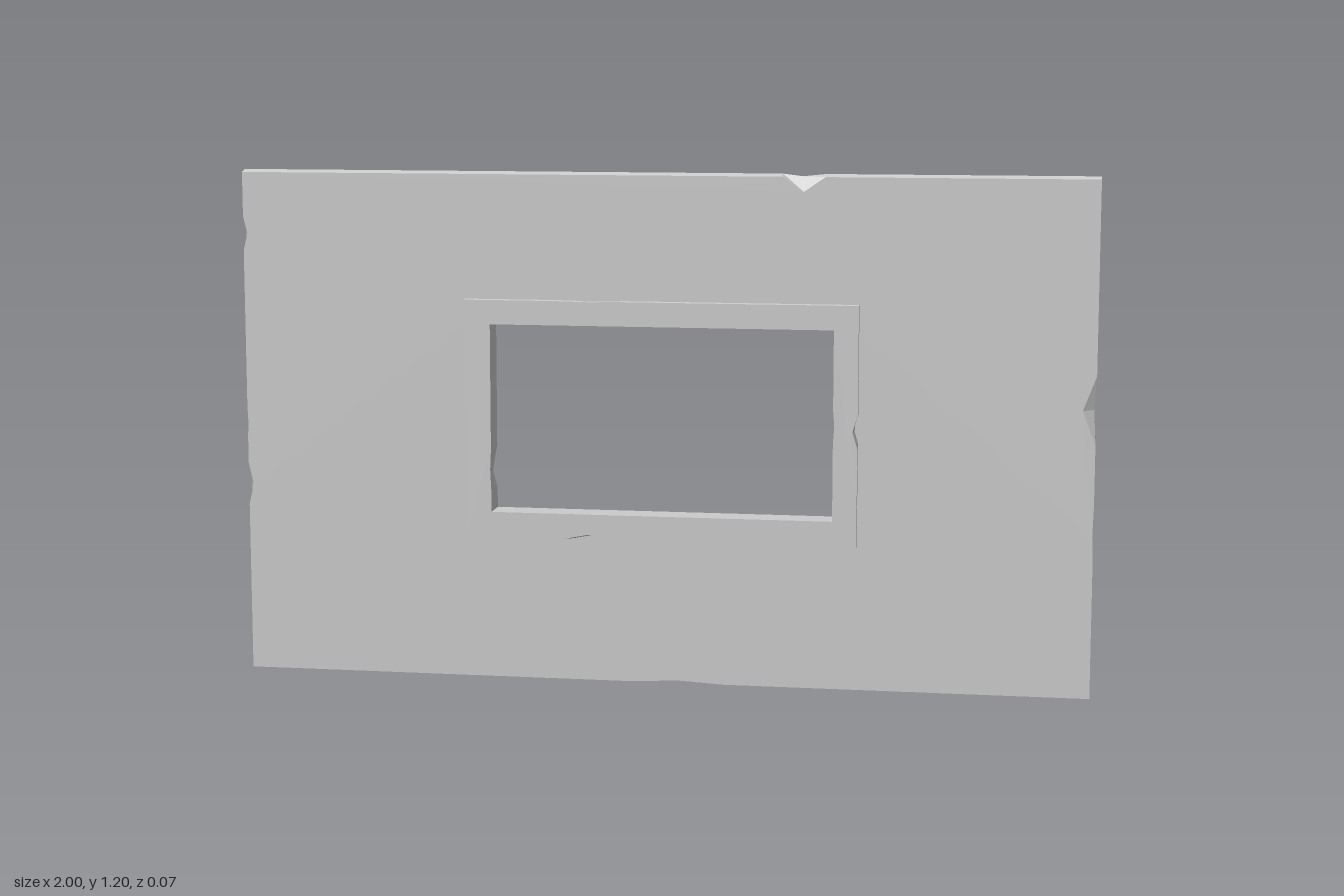
import * as THREE from 'three';

// Edges run counter-clockwise: 0 bottom, 1 right (+x), 2 top, 3 left (-x)
const INWARD = [[0, 1], [-1, 0], [0, -1], [1, 0]];

// A chip is [edge, position along edge, half width, depth, side (+1 front, -1 back)]
function rectPoints([x0, x1, y0, y1], chips, sign, moved) {
  const points = [];
  const corners = [[x0, y0], [x1, y0], [x1, y1], [x0, y1]];
  corners.forEach((corner, edge) => {
    points.push(new THREE.Vector2(...corner));
    const dir = edge < 2 ? 1 : -1;
    const [nx, ny] = INWARD[edge];
    chips.filter((c) => c[0] === edge).sort((a, b) => dir * (a[1] - b[1]))
      .forEach(([, at, half, depth, side]) => {
        for (const k of [-1, 0, 1]) {
          const t = at + dir * k * half;
          const p = edge % 2 ? new THREE.Vector2(corner[0], t) : new THREE.Vector2(t, corner[1]);
          if (k === 0) {
            const d = sign * depth;
            p.x += nx * d * 0.15;
            p.y += ny * d * 0.15;
            moved.push({ x: p.x, y: p.y, side, dx: nx * d * 0.85, dy: ny * d * 0.85 });
          }
          points.push(p);
        }
      });
  });
  return points;
}

// Rectangular ring whose front or back rim is knocked in at each chip
function chippedSlab(name, outer, inner, half, outerChips, innerChips, bevel) {
  const moved = [];
  const shape = new THREE.Shape(rectPoints(outer, outerChips, 1, moved));
  shape.holes.push(new THREE.Path(rectPoints(inner, innerChips, -1, moved)));
  const geometry = new THREE.ExtrudeGeometry(shape, { depth: 2 * half, steps: 2, bevelEnabled: false });
  geometry.translate(0, 0, -half);
  const pos = geometry.attributes.position;
  for (let i = 0; i < pos.count; i++) {
    const x = pos.getX(i), y = pos.getY(i), z = pos.getZ(i);
    if (Math.abs(z) < half * 0.5) continue;
    const chip = moved.find((c) => c.side * z > 0 && Math.abs(c.x - x) < 1e-4 && Math.abs(c.y - y) < 1e-4);
    if (chip) pos.setXY(i, x + chip.dx, y + chip.dy);
    else if (y > outer[3] - 1e-4) pos.setY(i, y - bevel); // slightly worn top edge
  }
  geometry.computeVertexNormals();
  const mesh = new THREE.Mesh(geometry, new THREE.MeshStandardMaterial({ color: 0xcccccc, flatShading: true }));
  mesh.name = name;
  return mesh;
}

export function createModel() {
  const group = new THREE.Group();
  group.name = 'wallPanelWithWindow';

  // Wall panel; its opening is hidden inside the frame
  group.add(chippedSlab('wallPanel', [-1, 1, 0, 1.2], [-0.43, 0.43, 0.37, 0.875], 0.021, [
    [2, 0.33, 0.05, 0.04, 1],
    [1, 0.67, 0.08, 0.03, 1],
    [1, 0.38, 0.07, 0.015, -1],
    [3, 1.05, 0.04, 0.01, 1],
    [3, 0.45, 0.05, 0.012, 1],
    [3, 0.5 + 0.1, 0.04, 0.01, -1],
    [0, 0.04, 0.11, 0.006, 1],
  ], [], 0.006));

  // Window frame standing proud on both faces
  group.add(chippedSlab('windowFrame', [-0.465, 0.46, 0.34, 0.905], [-0.403, 0.403, 0.4, 0.845], 0.034, [
    [0, -0.17, 0.06, 0.012, 1],
    [2, -0.17, 0.08, 0.03, -1],
    [1, 0.61, 0.04, 0.012, 1],
    [1, 0.42, 0.06, 0.012, -1],
    [3, 0.62, 0.04, 0.02, -1],
  ], [
    [1, 0.62, 0.04, 0.02, -1],
    [3, 0.5, 0.05, 0.015, -1],
  ], 0.003));

  return group;
}
